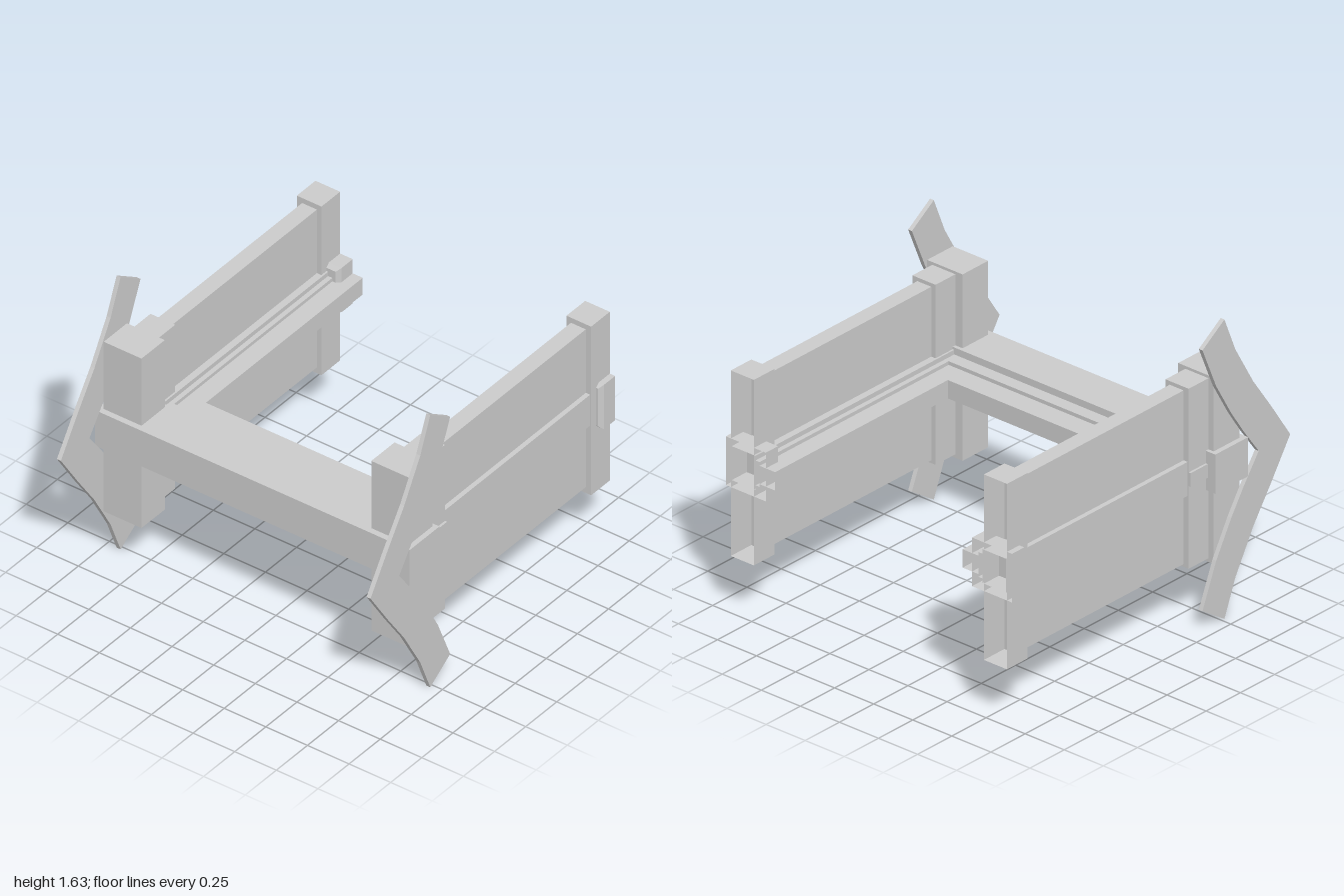
import * as THREE from 'three';

const MID = 0.815; // height of the rails and of the mirror line of the wings
const mat = new THREE.MeshStandardMaterial({ color: 0xcccccc, flatShading: true, side: THREE.DoubleSide });

function add(parent, name, geometry) {
  const mesh = new THREE.Mesh(geometry, mat);
  mesh.name = name;
  parent.add(mesh);
  return mesh;
}

// Box given by its limits; open leaves out the back face, chamfer narrows the front end.
function block([x0, x1], [y0, y1], [z0, z1], { open = false, chamfer = 0 } = {}) {
  const w = x1 - x0, h = y1 - y0, d = z1 - z0;
  let g = new THREE.BoxGeometry(w, h, d, 1, 1, chamfer ? 2 : 1);
  if (open) g.setIndex(Array.from(g.index.array).slice(0, -6));
  if (chamfer) {
    const p = g.attributes.position;
    for (let i = 0; i < p.count; i++) {
      const z = p.getZ(i);
      if (Math.abs(z) < 1e-4) p.setZ(i, d / 2 - chamfer);
      else if (z > 0) {
        p.setX(i, p.getX(i) * (1 - 2 * chamfer / w));
        p.setY(i, p.getY(i) * (1 - 2 * chamfer / h));
      }
    }
  }
  g = g.toNonIndexed();
  g.computeVertexNormals();
  return g.translate((x0 + x1) / 2, (y0 + y1) / 2, (z0 + z1) / 2);
}

// Swept, arrow-shaped plate: upper half as [z, height above the middle], mirrored below.
function wingGeometry(x0, x1) {
  const outer = [[1, 0], [0.86, 0.21], [0.73, 0.395], [0.6, 0.62], [0.52, 0.815]];
  const inner = [[0.36, 0.71], [0.46, 0.475], [0.57, 0.285], [0.66, 0.15], [0.77, 0]];
  const upper = [...outer, ...inner];
  const lower = upper.slice(1, -1).reverse().map(([z, y]) => [z, -y]);
  const shape = new THREE.Shape([...upper, ...lower].map(([z, y]) => new THREE.Vector2(-z, y)));
  const g = new THREE.ExtrudeGeometry(shape, { depth: x1 - x0, bevelEnabled: false });
  return g.rotateY(Math.PI / 2).translate(x0, MID, 0);
}

// One side wall, built on +x or on -x
function sideWall(s) {
  const wall = new THREE.Group();
  wall.name = s > 0 ? 'leftWall' : 'rightWall';
  const part = (name, x, y, z, options) =>
    add(wall, name, block(s > 0 ? x : [-x[1], -x[0]], y, z, options));

  // Panels above and below the middle beam
  part('upperPanel', [0.763, 0.852], [0.9, 1.29], [-0.85, 0.35]);
  part('lowerPanel', [0.763, 0.852], [0.345, 0.73], [-0.85, 0.35]);

  // Middle beam with stepped inner rail, open at the back
  part('middleBeam', [0.726, 0.878], [0.725, 0.91], [-1, 0.46], { open: true });
  part('beamStep', [0.7, 0.726], [0.75, 0.885], [-1, 0.46], { open: true });
  part('innerRail', [0.6, 0.7], [0.765, 0.865], [-1, 0.46], { open: true });

  // Posts and corner block
  part('backPost', [0.736, 0.884], [0.31, 1.32], [-1, -0.85], { open: true });
  part('frontPost', [0.736, 0.884], [0.33, 1.31], [0.325, 0.475]);
  part('cornerBlock', [0.69, 0.917], [0.31, 1.325], [0.47, 0.657]);

  // Collar around the back end and peg on the outside
  part('backCollar', [0.66, 0.916], [0.685, 0.95], [-1, -0.89], { open: true, chamfer: 0.02 });
  part('sidePeg', [0.87, 0.897], [0.78, 0.855], [0.325, 0.46]);

  add(wall, 'wing', s > 0 ? wingGeometry(0.918, 0.942) : wingGeometry(-0.942, -0.918));
  return wall;
}

export function createModel() {
  const model = new THREE.Group();
  model.name = 'frame';
  for (const s of [1, -1]) model.add(sideWall(s));

  // Beam joining the two walls at the front, with its stepped rail behind
  add(model, 'frontBeam', block([-0.945, 0.945], [0.71, 0.923], [0.45, 0.69]));
  add(model, 'frontBeamStep', block([-0.7, 0.7], [0.75, 0.885], [0.38, 0.45]));
  add(model, 'frontRail', block([-0.6, 0.6], [0.765, 0.865], [0.26, 0.38]));
  return model;
}
